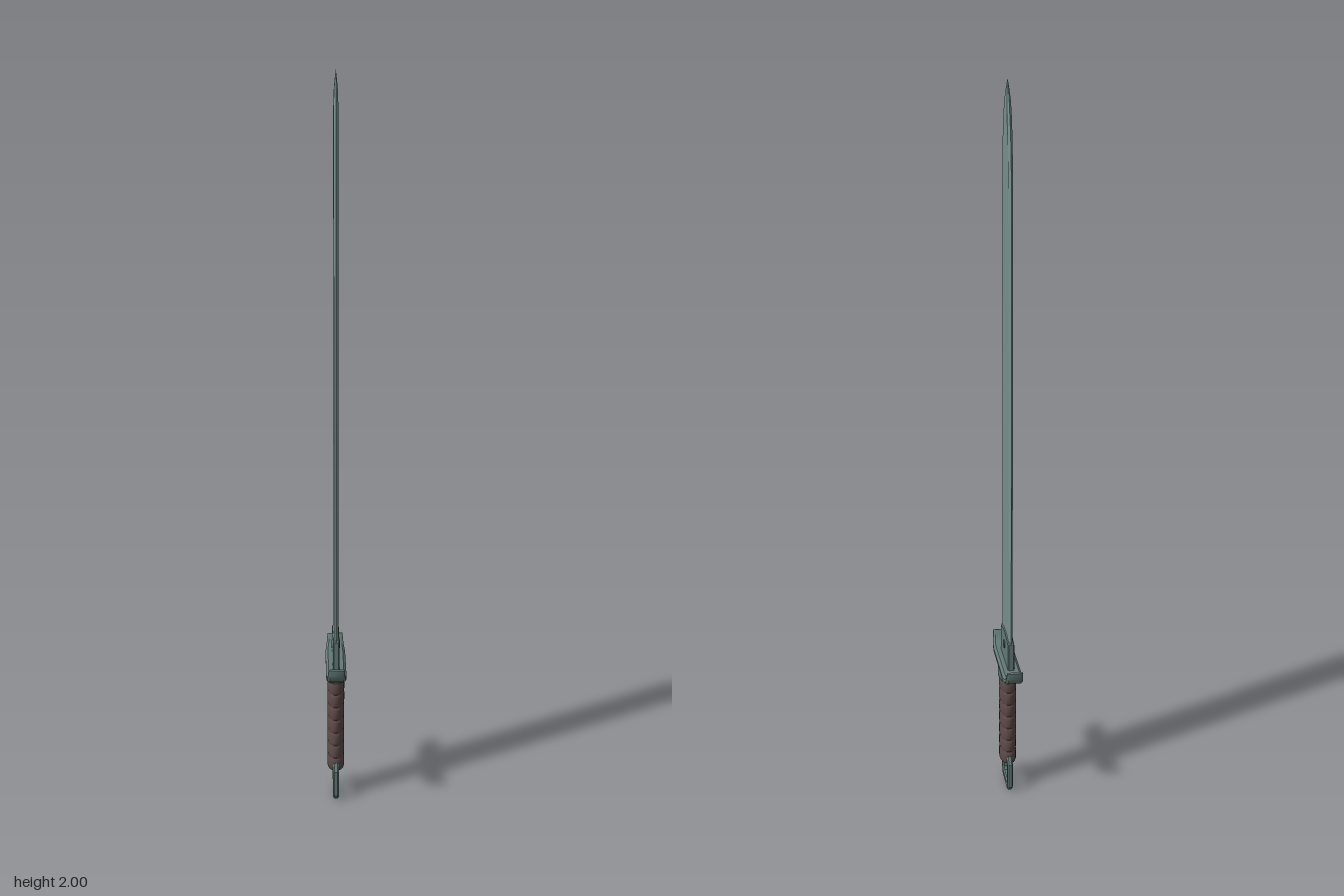
import * as THREE from 'three';
import { toCreasedNormals } from 'three/addons/utils/BufferGeometryUtils.js';

const steel = new THREE.MeshStandardMaterial({ color: 0x78918c });
const darkSteel = new THREE.MeshStandardMaterial({ color: 0x637a76 });
const leather = new THREE.MeshStandardMaterial({ color: 0x5c4b48 });

// Skin a list of equal-sized rings of Vector3 and close both ends.
function loft(rings, crease = 0.6) {
  const n = rings[0].length;
  const pos = [];
  const tri = (...pts) => pts.forEach((p) => pos.push(p.x, p.y, p.z));
  for (let i = 0; i < rings.length - 1; i++) {
    for (let j = 0; j < n; j++) {
      const k = (j + 1) % n;
      const a = rings[i][j], b = rings[i][k], c = rings[i + 1][k], d = rings[i + 1][j];
      tri(a, b, c);
      tri(a, c, d);
    }
  }
  const first = rings[0], last = rings[rings.length - 1];
  for (let j = 1; j < n - 1; j++) {
    tri(first[0], first[j + 1], first[j]);
    tri(last[0], last[j], last[j + 1]);
  }
  const g = new THREE.BufferGeometry();
  g.setAttribute('position', new THREE.Float32BufferAttribute(pos, 3));
  return toCreasedNormals(g, crease);
}

// Horizontal ellipse ring at height y.
function ellipse(y, rx, rz, sides = 20) {
  return Array.from({ length: sides }, (_, j) => {
    const a = (j / sides) * Math.PI * 2;
    return new THREE.Vector3(Math.sin(a) * rx, y, Math.cos(a) * rz);
  });
}

// Plate outlined in (z, y), thickened evenly along x with a bevelled rim.
function plate(shape, thickness, bevel) {
  const g = new THREE.ExtrudeGeometry(shape, {
    depth: thickness - 2 * bevel, bevelEnabled: true, bevelThickness: bevel,
    bevelSize: bevel, bevelOffset: -bevel, bevelSegments: 1, curveSegments: 10,
  });
  g.translate(0, 0, -(thickness - 2 * bevel) / 2);
  g.rotateY(-Math.PI / 2);
  return g;
}

const outline = (pts) => pts.map(([z, y]) => new THREE.Vector2(z, y));

export function createModel() {
  const group = new THREE.Group();
  const add = (name, geometry, material) => {
    const mesh = new THREE.Mesh(geometry, material);
    mesh.name = name;
    group.add(mesh);
    return mesh;
  };

  // Blade: flat faces, ground edges, curved point. [height, half width]
  const bladeProfile = [
    [0.4, 0.065], [1.63, 0.065], [1.74, 0.062], [1.81, 0.057], [1.865, 0.049],
    [1.91, 0.038], [1.95, 0.025], [1.98, 0.012], [2.0, 0.0005],
  ];
  add('blade', loft(bladeProfile.map(([y, w]) => {
    const t = 0.006 * Math.min(1, w / 0.03), b = w * 0.8;
    return [[0, w], [t, b], [t, -b], [0, -w], [-t, -b], [-t, b]]
      .map(([x, z]) => new THREE.Vector3(x, y, z));
  }), 0.2), steel);

  // Blade socket with a low peaked top
  const socket = new THREE.Shape();
  socket.moveTo(-0.067, 0.39);
  socket.lineTo(0.067, 0.39);
  socket.lineTo(0.067, 0.487);
  socket.quadraticCurveTo(0.035, 0.498, 0, 0.5);
  socket.quadraticCurveTo(-0.035, 0.498, -0.067, 0.487);
  socket.closePath();
  add('bladeSocket', plate(socket, 0.018, 0.003), darkSteel);

  // Rivet passing through the socket
  const rivet = add('rivet', new THREE.CylinderGeometry(0.012, 0.012, 0.023, 12), darkSteel);
  rivet.rotation.z = Math.PI / 2;
  rivet.position.y = 0.457;

  // Guard: bar swept along z with upturned ends. [z, y, half thickness, half width]
  const arm = [
    [0.04, 0.395, 0.012, 0.028], [0.085, 0.395, 0.0115, 0.028], [0.103, 0.397, 0.011, 0.0265],
    [0.117, 0.404, 0.0095, 0.025], [0.127, 0.417, 0.007, 0.023], [0.133, 0.435, 0.003, 0.022],
  ];
  const spine = [...arm.map(([z, ...r]) => [-z, ...r]).reverse(), ...arm];
  add('guard', loft(spine.map(([z, y, t, w], i) => {
    const p = spine[Math.max(0, i - 1)], q = spine[Math.min(spine.length - 1, i + 1)];
    const dir = new THREE.Vector2(q[0] - p[0], q[1] - p[1]).normalize();
    return [[1, -0.4], [1, 0.4], [0.75, 1], [-0.75, 1], [-1, 0.4], [-1, -0.4], [-0.75, -1], [0.75, -1]]
      .map(([u, v]) => new THREE.Vector3(u * w, y + v * t * dir.x, z - v * t * dir.y));
  })), darkSteel);

  // Ferrule below the guard
  add('ferrule', loft([
    ellipse(0.352, 0.024, 0.04), ellipse(0.357, 0.027, 0.043),
    ellipse(0.378, 0.027, 0.043), ellipse(0.388, 0.025, 0.041),
  ]), darkSteel);

  // Grip: leather wrapped in seven bulging bands
  const gripRings = [], bands = 7, bottom = 0.085, top = 0.356;
  for (let i = 0; i < bands; i++) {
    for (const [f, s] of [[0, 0.93], [0.15, 1], [0.85, 1]]) {
      gripRings.push(ellipse(bottom + ((i + f) / bands) * (top - bottom), 0.024 * s, 0.041 * s));
    }
  }
  gripRings.push(ellipse(top, 0.022, 0.038));
  add('grip', loft(gripRings), leather);

  // Pommel: flat open loop with clipped corners
  const loop = new THREE.Shape(outline([
    [-0.042, 0], [0.042, 0], [0.056, 0.016], [0.056, 0.09],
    [0.038, 0.113], [-0.038, 0.113], [-0.056, 0.09], [-0.056, 0.016],
  ]));
  loop.holes.push(new THREE.Path(outline([
    [-0.029, 0.022], [-0.036, 0.03], [-0.036, 0.078], [-0.028, 0.088],
    [0.028, 0.088], [0.036, 0.078], [0.036, 0.03], [0.029, 0.022],
  ])));
  add('pommelLoop', plate(loop, 0.016, 0.004), darkSteel);

  return group;
}
